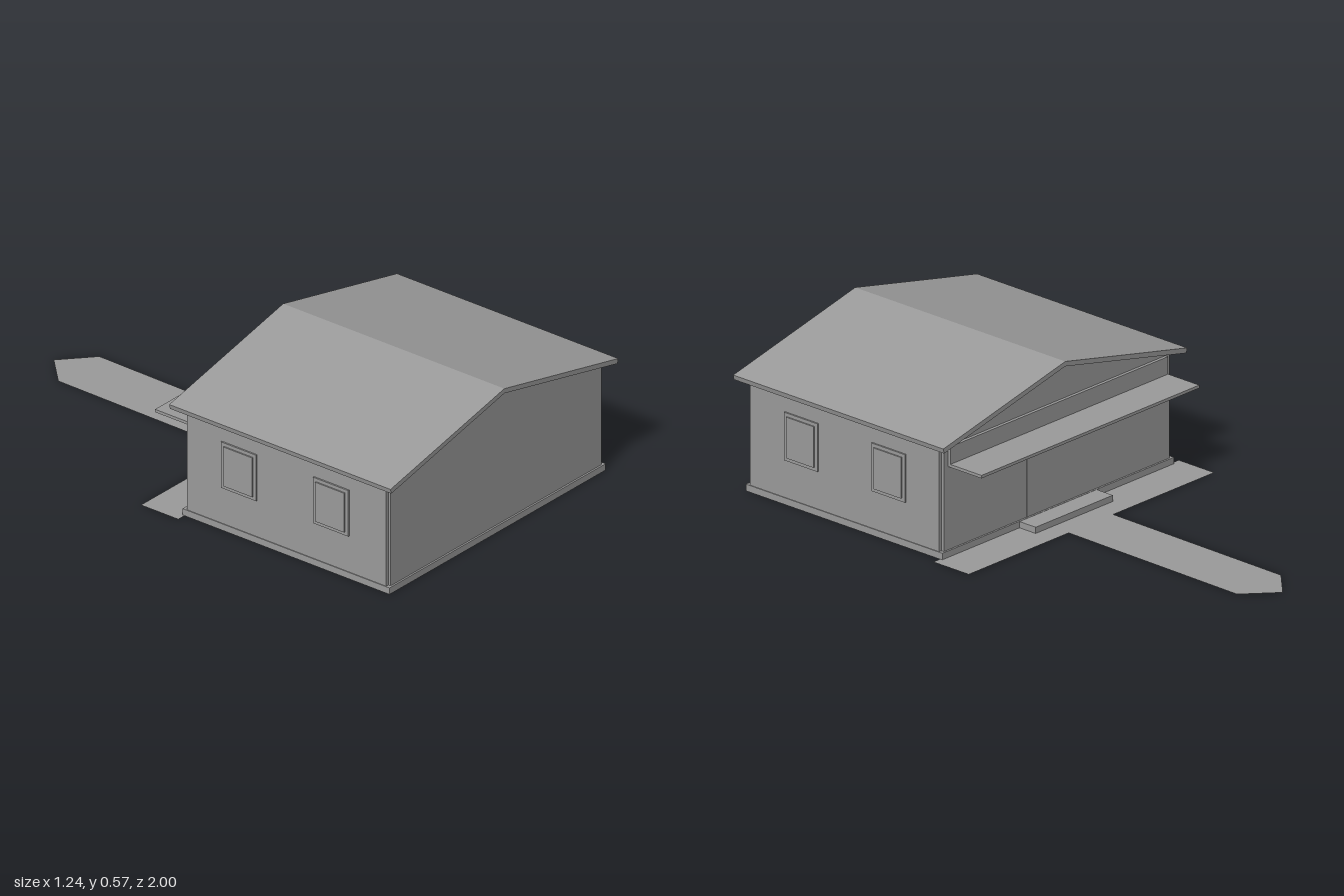
import * as THREE from 'three';

const grey = new THREE.MeshStandardMaterial({ color: 0x9b9b9b });
const pavingGrey = new THREE.MeshStandardMaterial({ color: 0x9b9b9b, side: THREE.DoubleSide });
grey.name = 'grey';
pavingGrey.name = 'paving grey';

export function createModel() {
  const model = new THREE.Group();
  model.name = 'house';

  function add(name, geometry, material = grey) {
    const mesh = new THREE.Mesh(geometry, material);
    mesh.name = name;
    model.add(mesh);
    return mesh;
  }

  // Box given by its limits on each axis
  function box(name, x0, x1, y0, y1, z0, z1) {
    const mesh = add(name, new THREE.BoxGeometry(x1 - x0, y1 - y0, z1 - z0));
    mesh.position.set((x0 + x1) / 2, (y0 + y1) / 2, (z0 + z1) / 2);
    return mesh;
  }

  // Outline in x and y, extruded along z
  function extrude(name, points, z0, z1) {
    const shape = new THREE.Shape(points.map(([x, y]) => new THREE.Vector2(x, y)));
    const geometry = new THREE.ExtrudeGeometry(shape, { depth: z1 - z0, bevelEnabled: false });
    return add(name, geometry.translate(0, 0, z0));
  }

  // Flat sheet on the ground, outline in x and z
  function sheet(name, points, y) {
    const shape = new THREE.Shape(points.map(([x, z]) => new THREE.Vector2(x, -z)));
    const geometry = new THREE.ShapeGeometry(shape).rotateX(-Math.PI / 2);
    add(name, geometry.translate(0, y, 0), pavingGrey);
  }

  // Plinth and gabled body, with the side walls standing slightly proud
  box('plinth', -0.585, 0.585, 0, 0.025, 0.055, 0.97);
  extrude('gabledWalls', [[-0.57, 0.025], [0.57, 0.025], [0.57, 0.421], [0, 0.549], [-0.57, 0.421]], 0.062, 0.963);
  box('sideWalls', -0.582, 0.582, 0.025, 0.418, 0.073, 0.953);

  // Roof: two sloping slabs meeting at the ridge
  extrude('roof', [
    [0, 0.567], [-0.616, 0.43], [-0.612, 0.412], [0, 0.549], [0.612, 0.412], [0.616, 0.43],
  ], 0.022, 1);

  // Two windows on each side wall, the pane proud of its frame
  for (const side of [-1, 1]) {
    for (const z of [0.712, 0.305]) {
      const frame = box('windowFrame', 0.58, 0.588, 0.165, 0.343, z - 0.078, z + 0.078);
      const pane = box('windowPane', 0.586, 0.593, 0.178, 0.33, z - 0.064, z + 0.064);
      frame.position.x *= side;
      pane.position.x *= side;
    }
  }

  // Entrance: fascia board, awning, door seam and step
  box('fascia', -0.55, 0.55, 0.335, 0.41, 0.05, 0.064);
  box('awning', -0.55, 0.55, 0.334, 0.345, -0.095, 0.062);
  box('doorSeam', 0.148, 0.153, 0.025, 0.334, 0.059, 0.064);
  box('step', -0.195, 0.195, 0, 0.024, -0.02, 0.06);

  // Paving along the entrance and the pointed path
  sheet('sidewalk', [[-0.62, -0.1], [0.62, -0.1], [0.62, 0.065], [-0.62, 0.065]], 0.001);
  sheet('path', [[-0.11, -0.1], [-0.1, -0.89], [0.01, -1], [0.128, -0.895], [0.115, -0.1]], 0.001);

  return model;
}
